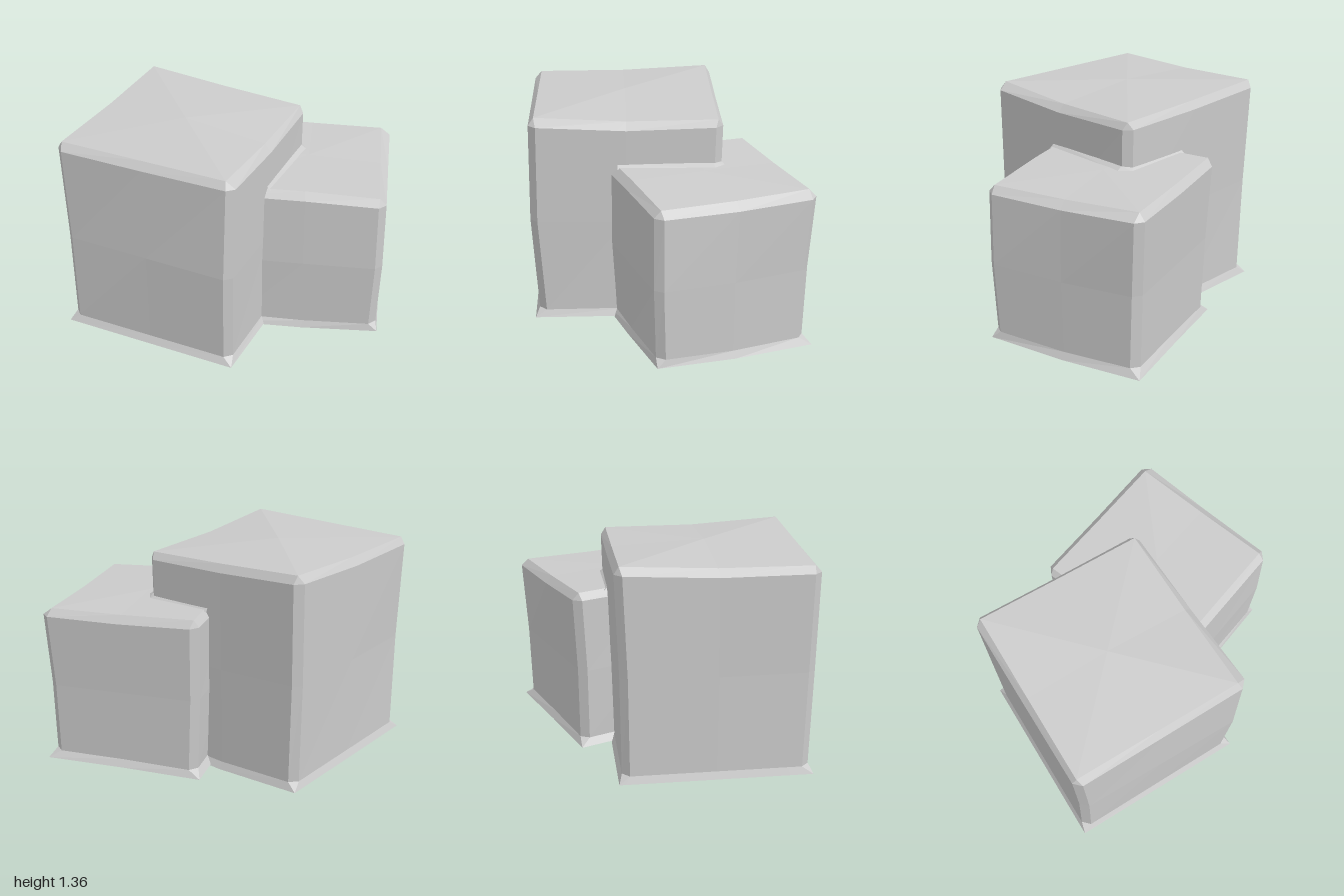
import * as THREE from 'three';

const material = new THREE.MeshStandardMaterial({ color: 0xcccccc, flatShading: true, side: THREE.DoubleSide });
const mid = (a, b) => a.clone().lerp(b, 0.5);

// Corners run counterclockwise seen from above, starting front left; each is [x, z].
const tall = {
  name: 'tallBlock',
  flare: [[-1, 0.36], [0.09, 0.735], [0.46, -0.35], [-0.6, -0.735]],
  foot: [[-0.975, 0.345], [0.08, 0.705], [0.43, -0.34], [-0.59, -0.71]],
  waist: [[-0.98, 0.365], [0.085, 0.75], [0.44, -0.36], [-0.605, -0.72]],
  shoulder: [[-1.005, 0.37], [0.1, 0.75], [0.445, -0.37], [-0.61, -0.745]],
  top: [[-0.965, 0.34], [0.055, 0.7], [0.41, -0.35], [-0.585, -0.705]],
  baseY: [0.03, 0.03, 0.02, 0.03], baseMidY: [0.03, 0.03, 0.005, 0.03],
  topY: [1.33, 1.33, 1.305, 1.365], topMidY: [1.33, 1.3, 1.33, 1.335], centreY: 1.355,
  cutY: 1.25,
};
const small = {
  name: 'smallBlock',
  flare: [[0, 0.265], [0.975, 0.265], [1, -0.73], [0, -0.72]],
  foot: [[0.03, 0.24], [0.965, 0.255], [0.97, -0.7], [0.03, -0.7]],
  waist: [[0, 0.27], [0.98, 0.275], [0.975, -0.71], [0.01, -0.71]],
  shoulder: [[0, 0.275], [0.975, 0.275], [1, -0.73], [0, -0.735]],
  top: [[0.03, 0.235], [0.935, 0.235], [0.94, -0.69], [0.03, -0.7]],
  baseY: [0.03, 0.03, 0.01, 0.01], baseMidY: [0.02, 0.005, 0.015, 0.02],
  topY: [1.03, 0.995, 1, 1.03], topMidY: [1.02, 0.99, 1.01, 1.04], centreY: 1.02,
  cutY: 1.015,
};

// A ring of 12 points: start, middle and end of each side, pulled back from the corner by the bevel.
function ring(corners, ys, midYs, bevel) {
  const p = corners.map(([x, z], i) => new THREE.Vector3(x, ys[i], z));
  return p.flatMap((a, i) => {
    const b = p[(i + 1) % 4];
    const step = b.clone().sub(a).setLength(bevel);
    const m = mid(a, b);
    m.y = midYs[i];
    return [a.clone().add(step), m, b.clone().sub(step)];
  });
}

// Planes bounding a block; positive distance is outside it.
function boundary(block) {
  const planes = block.foot.map(([x, z], i) => {
    const [u, w] = block.foot[(i + 1) % 4];
    const normal = new THREE.Vector3(-(w - z), 0, u - x).normalize();
    return new THREE.Plane().setFromNormalAndCoplanarPoint(normal, new THREE.Vector3(x, 0, z));
  });
  planes.push(new THREE.Plane(new THREE.Vector3(0, 1, 0), -block.cutY));
  return planes;
}

// The part of a convex polygon on one side of a plane.
function clip(poly, plane, sign) {
  const out = [];
  poly.forEach((a, i) => {
    const b = poly[(i + 1) % poly.length];
    const da = sign * plane.distanceToPoint(a), db = sign * plane.distanceToPoint(b);
    if (da >= 0) out.push(a);
    if (da * db < 0) out.push(a.clone().lerp(b, da / (da - db)));
  });
  return out;
}

// The pieces of a polygon outside a convex volume.
function outside(poly, planes) {
  const pieces = [];
  for (const plane of planes) {
    const piece = clip(poly, plane, 1);
    if (piece.length > 2) pieces.push(piece);
    poly = clip(poly, plane, -1);
    if (poly.length < 3) return pieces;
  }
  return pieces;
}

function polygonMesh(name, polygons) {
  const points = [];
  for (const p of polygons) {
    for (let i = 1; i < p.length - 1; i++) points.push(p[0], p[i], p[i + 1]);
  }
  const geometry = new THREE.BufferGeometry().setFromPoints(points);
  geometry.computeVertexNormals();
  const mesh = new THREE.Mesh(geometry, material);
  mesh.name = name;
  return mesh;
}

// Bevelled, slightly warped block, open underneath, with the part inside its neighbour cut away.
function block(b, neighbour) {
  const shift = (ys, d) => ys.map((y) => y + d);
  const half = (ys, zs) => ys.map((y, i) => (y + zs[i]) / 2);
  const rings = [
    ring(b.flare, b.baseY, b.baseMidY, 0),
    ring(b.foot, shift(b.baseY, 0.045), shift(b.baseMidY, 0.045), 0.045),
    ring(b.waist, half(b.baseY, b.topY), half(b.baseMidY, b.topMidY), 0.045),
    ring(b.shoulder, shift(b.topY, -0.045), shift(b.topMidY, -0.048), 0.045),
    ring(b.top, b.topY, b.topMidY, 0),
  ];
  const triangles = [];
  const quad = (p, q, r, s) => triangles.push([p, q, r], [p, r, s]);
  // Skirt, walls and bevels
  for (let k = 0; k < 4; k++) {
    for (let i = 0; i < 12; i++) {
      const j = (i + 1) % 12;
      quad(rings[k][i], rings[k][j], rings[k + 1][j], rings[k + 1][i]);
    }
  }
  // Top in four patches around a raised centre
  const t = rings[4];
  const centre = mid(mid(t[1], t[7]), mid(t[4], t[10]));
  centre.y = b.centreY;
  for (let i = 0; i < 4; i++) quad(t[3 * i], t[3 * i + 1], centre, t[(3 * i + 10) % 12]);

  const planes = boundary(neighbour);
  return polygonMesh(b.name, triangles.flatMap((tri) => outside(tri, planes)));
}

// Narrow sloping strip where the small block's top meets the tall block's walls
function seam() {
  const v = (x, y, z) => new THREE.Vector3(x, y, z);
  const inner = [v(0.245, 1.047, 0.235), v(0.425, 1.042, -0.32), v(0.39, 1.04, -0.375), v(0.01, 1.055, -0.505)];
  const outer = [v(0.275, 1.018, 0.25), v(0.467, 1.014, -0.31), v(0.43, 1.014, -0.395), v(0.01, 1.025, -0.54)];
  return polygonMesh('seam', [0, 1, 2].map((i) => [inner[i], outer[i], outer[i + 1], inner[i + 1]]));
}

export function createModel() {
  const group = new THREE.Group();
  group.name = 'blocks';
  group.add(block(tall, small), block(small, tall), seam());
  return group;
}
